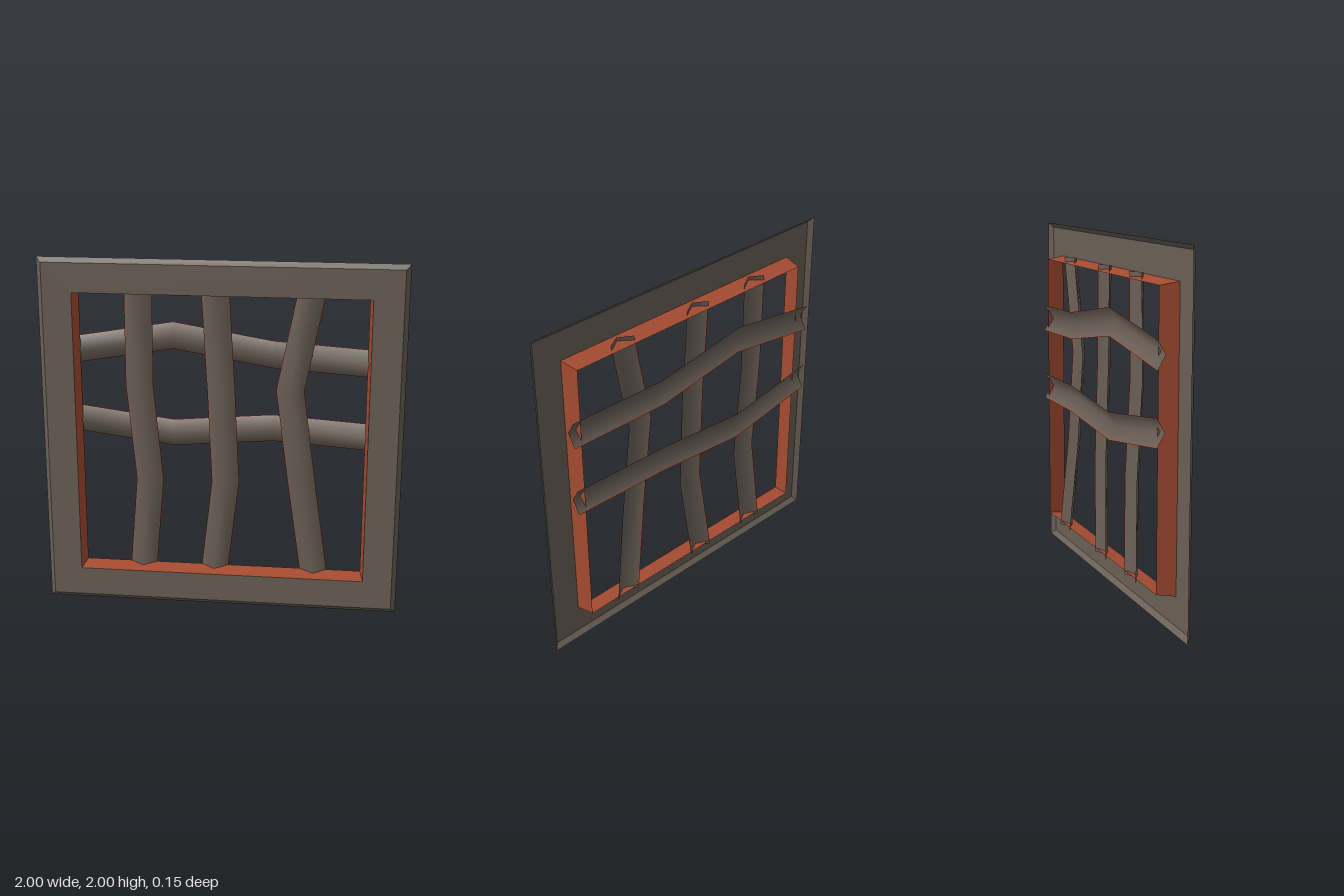
import * as THREE from 'three';

const frameMat = new THREE.MeshStandardMaterial({ color: 0x6a5f56, side: THREE.DoubleSide });
frameMat.name = 'weathered brown';
const rustMat = new THREE.MeshStandardMaterial({ color: 0xa54b31, side: THREE.DoubleSide });
rustMat.name = 'rust red';

function add(group, name, geometry, material) {
  const mesh = new THREE.Mesh(geometry, material);
  mesh.name = name;
  group.add(mesh);
  return mesh;
}

// Open square band around the z axis, tapering between two half-widths
function squareBand(halfFront, halfBack, zFront, zBack) {
  const r = Math.SQRT2;
  const band = new THREE.CylinderGeometry(halfFront * r, halfBack * r, zFront - zBack, 4, 1, true, Math.PI / 4);
  band.rotateX(Math.PI / 2);
  band.translate(0, 1, (zFront + zBack) / 2);
  const flat = band.toNonIndexed();
  flat.computeVertexNormals();
  return flat;
}

// Sheet swept along a path; section is [offset across, offset in z]
function ribbon(path, section, vertical) {
  const pos = [], index = [], n = section.length;
  for (const [x, y, z] of path) {
    for (const [w, d] of section) pos.push(x + (vertical ? w : 0), y + (vertical ? 0 : w), z + d);
  }
  for (let i = 0; i < path.length - 1; i++) {
    for (let j = 0; j < n - 1; j++) {
      const a = i * n + j, b = a + n;
      if (vertical) index.push(a, a + 1, b, a + 1, b + 1, b);
      else index.push(a, b, a + 1, a + 1, b, b + 1);
    }
  }
  const g = new THREE.BufferGeometry();
  g.setAttribute('position', new THREE.Float32BufferAttribute(pos, 3));
  g.setIndex(index);
  g.computeVertexNormals();
  return g;
}

// Bent bar: ridged sheet with thin rusty rims; path z is the ridge line
function makeBar(name, path, vertical) {
  const bar = new THREE.Group();
  bar.name = name;
  add(bar, 'barSheet', ribbon(path, [[-0.072, -0.043], [0, 0], [0.072, -0.043]], vertical), frameMat);
  add(bar, 'barRimA', ribbon(path, [[-0.077, -0.046], [-0.072, -0.043]], vertical), rustMat);
  add(bar, 'barRimB', ribbon(path, [[0.072, -0.043], [0.077, -0.046]], vertical), rustMat);
  return bar;
}

export function createModel() {
  const model = new THREE.Group();
  model.name = 'barredWindow';

  // Front face of the surround with square opening
  const square = (h) => [[-h, -h], [h, -h], [h, h], [-h, h]].map(([x, y]) => new THREE.Vector2(x, y + 1));
  const face = new THREE.Shape(square(0.973));
  face.holes.push(new THREE.Path(square(0.81)));
  add(model, 'frameFace', new THREE.ShapeGeometry(face).translate(0, 0, 0.075), frameMat);

  // Bevelled outer edge and inner reveal
  add(model, 'frameBevel', squareBand(0.973, 1, 0.075, 0.05), frameMat);
  add(model, 'innerReveal', squareBand(0.81, 0.793, 0.075, -0.03), rustMat);

  // Upright bars: x at each bend
  const uprightY = [0.185, 0.73, 1.28, 1.825];
  const uprightZ = [0.015, 0.04, 0.045, 0.037];
  [
    [-0.46, -0.41, -0.46, -0.46],
    [-0.045, 0.02, -0.005, -0.037],
    [0.527, 0.45, 0.377, 0.485],
  ].forEach((xs, k) => {
    const path = xs.map((x, i) => [x, uprightY[i], uprightZ[i]]);
    model.add(makeBar('uprightBar' + (k + 1), path, true));
  });

  // Cross bars behind the uprights: y at each bend
  const crossX = [-0.85, -0.28, 0.28, 0.845];
  const crossZ = [-0.015, -0.032, -0.032, 0.008];
  [
    [1.46, 1.553, 1.46, 1.433],
    [1.07, 0.99, 1.037, 1.013],
  ].forEach((ys, k) => {
    const path = ys.map((y, i) => [crossX[i], y, crossZ[i]]);
    model.add(makeBar('crossBar' + (k + 1), path, false));
  });

  return model;
}
